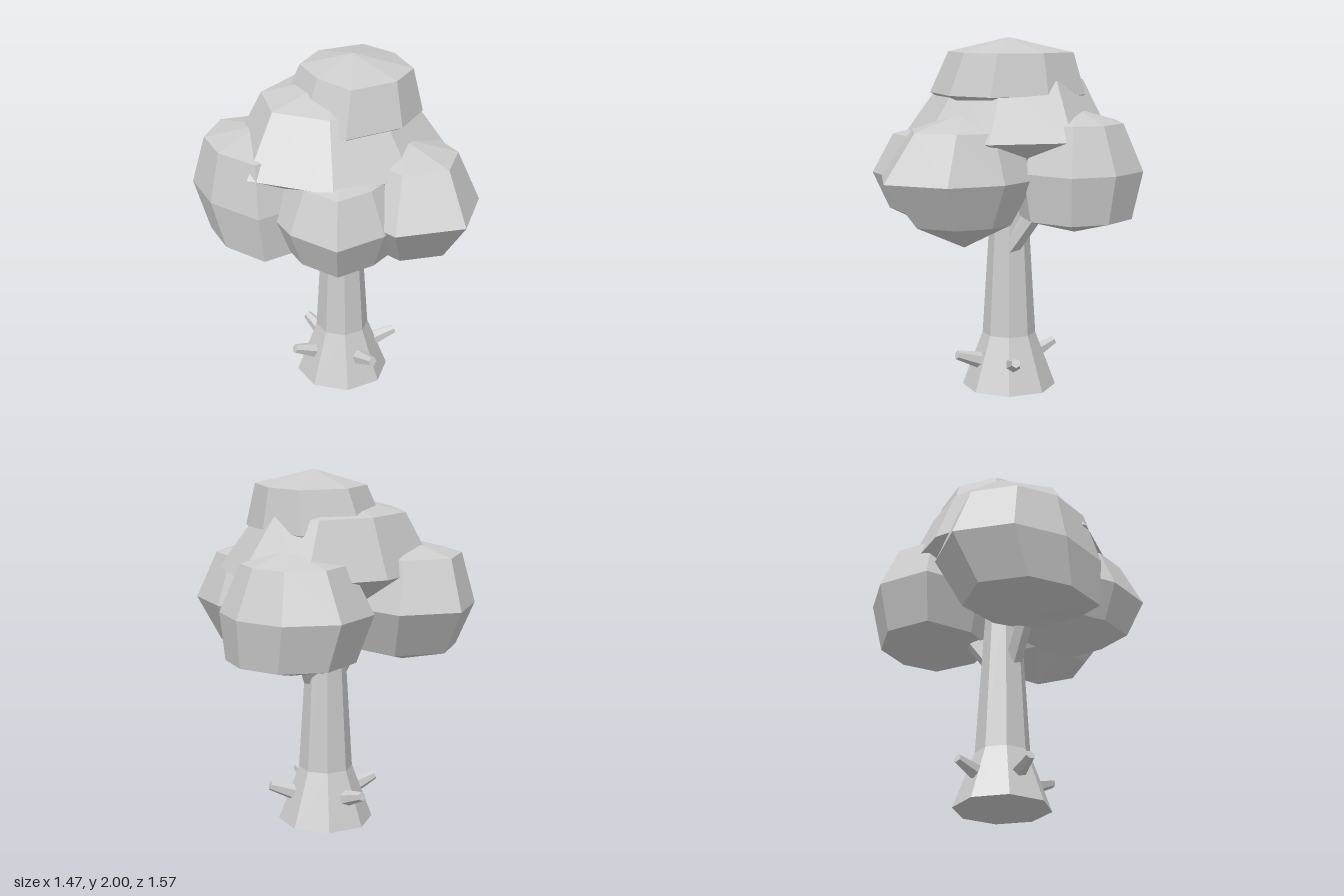
import * as THREE from 'three';

const grey = new THREE.MeshStandardMaterial({ color: 0xcccccc, flatShading: true });
grey.name = 'pale grey';

// Faceted leaf clump: top pole, upper ring, widest ring, lower ring, bottom pole.
// rim lists eight [x, z] points, starting at the front and turning towards +x.
// upper and lower are [y, scale of the rim, shift in x, shift in z].
function clump({ center: [cx, cz], rim, top, upper, mid, lower, bottom }) {
  const ring = ([y, s, dx = 0, dz = 0]) =>
    rim.map(([x, z]) => [cx + dx + (x - cx) * s, y, cz + dz + (z - cz) * s]);
  const rings = [ring([top, 0]), ring(upper), ring([mid, 1]), ring(lower), ring([bottom, 0])];
  const pos = [];
  for (let r = 0; r < 4; r++) {
    for (let i = 0; i < 8; i++) {
      const j = (i + 1) % 8;
      const a = rings[r][i], b = rings[r][j], c = rings[r + 1][i], d = rings[r + 1][j];
      if (r < 3) pos.push(...a, ...c, ...d);
      else pos.push(...a, ...c, ...b);
      if (r > 0 && r < 3) pos.push(...a, ...d, ...b);
    }
  }
  const geo = new THREE.BufferGeometry();
  geo.setAttribute('position', new THREE.Float32BufferAttribute(pos, 3));
  geo.computeVertexNormals();
  return geo;
}

// Tapered stub between two points
function stub(from, to, r0, r1) {
  const a = new THREE.Vector3(...from), b = new THREE.Vector3(...to);
  const dir = b.clone().sub(a);
  const mesh = new THREE.Mesh(new THREE.CylinderGeometry(r1, r0, dir.length(), 6), grey);
  mesh.position.copy(a).add(b).multiplyScalar(0.5);
  mesh.quaternion.setFromUnitVectors(new THREE.Vector3(0, 1, 0), dir.normalize());
  return mesh;
}

export function createModel() {
  const tree = new THREE.Group();
  tree.name = 'tree';
  const add = (mesh, name) => { mesh.name = name; tree.add(mesh); };

  // Eight-sided trunk with a flared foot
  const section = (y0, y1, r0, r1, open, name) => {
    const geo = new THREE.CylinderGeometry(r1, r0, y1 - y0, 8, 1, open, 0.18);
    const mesh = new THREE.Mesh(geo, grey);
    mesh.position.set(0, (y0 + y1) / 2, -0.09);
    add(mesh, name);
  };
  section(0, 0.31, 0.268, 0.152, false, 'trunkFoot');
  section(0.31, 1.25, 0.152, 0.095, false, 'trunk');

  // Short broken twigs around the foot
  [[-0.05, 0.235], [0.285, 0.06], [0, -0.41], [-0.3, -0.17]].forEach(([x, z], i) => {
    const dz = z + 0.09;
    add(stub([x * 0.4, 0.145, -0.09 + dz * 0.4], [x, 0.21, z], 0.055, 0.026), `twig${i + 1}`);
  });

  // Boughs rising into the leaves on either side
  add(stub([0.05, 0.8, -0.05], [0.24, 1.1, -0.16], 0.055, 0.05), 'leftBough');
  add(stub([-0.05, 0.8, -0.08], [-0.24, 1.12, -0.12], 0.055, 0.05), 'rightBough');

  // Leaf clumps
  const clumps = {
    frontClump: {
      center: [0.1, 0.28], top: 1.6, upper: [1.51, 0.66, 0.035], mid: 1.245, lower: [1.0, 0.63, 0.025], bottom: 0.86,
      rim: [[0.1, 0.78], [0.41, 0.58], [0.48, 0.27], [0.4, 0.02], [0.1, -0.08], [-0.17, 0.02], [-0.255, 0.28], [-0.24, 0.6]],
    },
    frontRightClump: {
      center: [-0.25, 0.18], top: 1.53, upper: [1.45, 0.71], mid: 1.225, lower: [1.02, 0.77], bottom: 0.88,
      rim: [[-0.25, 0.53], [0.0, 0.47], [0.09, 0.18], [0.0, -0.08], [-0.25, -0.16], [-0.53, -0.09], [-0.605, 0.19], [-0.545, 0.49]],
    },
    backLeftClump: {
      center: [0.38, -0.265], top: 1.62, upper: [1.54, 0.7], mid: 1.28, lower: [1.02, 0.85, 0.02, 0.02], bottom: 0.935,
      rim: [[0.38, 0.08], [0.67, -0.02], [0.735, -0.265], [0.645, -0.53], [0.38, -0.68], [0.08, -0.59], [0.02, -0.265], [0.12, -0.02]],
    },
    backRightClump: {
      center: [-0.365, -0.325], top: 1.62, upper: [1.54, 0.77, -0.02], mid: 1.265, lower: [1.01, 0.82, -0.03, 0.07], bottom: 0.93,
      rim: [[-0.365, 0.05], [-0.1, -0.05], [0.0, -0.32], [-0.05, -0.64], [-0.365, -0.785], [-0.645, -0.61], [-0.735, -0.32], [-0.67, 0.01]],
    },
    middleClump: {
      center: [-0.02, -0.09], top: 1.88, upper: [1.77, 0.67, 0, -0.04], mid: 1.455, lower: [1.31, 0.58], bottom: 1.2,
      rim: [[0, 0.46], [0.42, 0.33], [0.59, -0.09], [0.44, -0.47], [0, -0.6], [-0.45, -0.49], [-0.66, -0.09], [-0.43, 0.335]],
    },
    crownClump: {
      center: [0.05, -0.05], top: 2, upper: [1.92, 0.8, 0.03], mid: 1.69, lower: [1.6, 0.6], bottom: 1.5,
      rim: [[0.05, 0.34], [0.3, 0.24], [0.41, -0.06], [0.37, -0.34], [0.05, -0.45], [-0.22, -0.33], [-0.3, -0.05], [-0.28, 0.26]],
    },
  };
  for (const [name, spec] of Object.entries(clumps)) add(new THREE.Mesh(clump(spec), grey), name);

  return tree;
}
